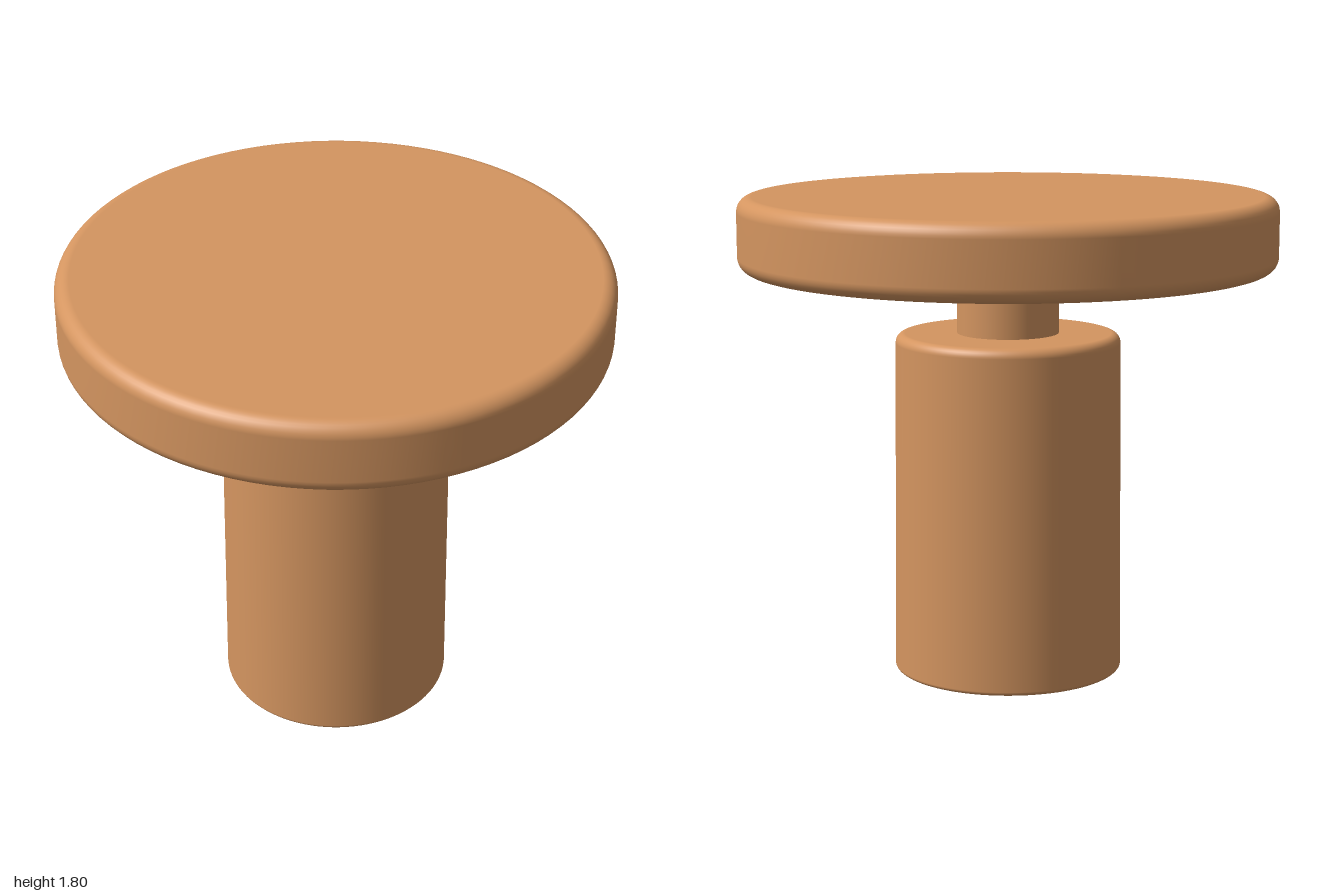
import * as THREE from 'three';

const SEGMENTS = 96;

// Closed turned solid with rounded lower and upper rims
function roundedDisc(rBottom, rTop, y0, y1, filletBottom, filletTop) {
  const points = [new THREE.Vector2(0, y0)];
  const steps = 8;
  const arc = (cx, cy, r, start) => {
    for (let i = 0; i <= steps; i++) {
      const a = start + (i / steps) * Math.PI / 2;
      points.push(new THREE.Vector2(cx + r * Math.cos(a), cy + r * Math.sin(a)));
    }
  };
  arc(rBottom - filletBottom, y0 + filletBottom, filletBottom, -Math.PI / 2);
  arc(rTop - filletTop, y1 - filletTop, filletTop, 0);
  points.push(new THREE.Vector2(0, y1));
  return new THREE.LatheGeometry(points, SEGMENTS);
}

export function createModel() {
  const group = new THREE.Group();
  const copper = new THREE.MeshStandardMaterial({ color: 0xd49560 });
  copper.name = 'copper';

  const add = (name, geometry) => {
    const mesh = new THREE.Mesh(geometry, copper);
    mesh.name = name;
    group.add(mesh);
    return mesh;
  };

  // Slightly tapered cylindrical body
  add('body', roundedDisc(0.43, 0.42, 0, 1.285, 0.015, 0.035));

  // Narrow neck, its ends hidden inside the body and cap
  add('neck', new THREE.CylinderGeometry(0.19, 0.19, 0.26, SEGMENTS, 1, true)).position.y = 1.405;

  // Wide flat cap with soft rims
  add('cap', roundedDisc(1, 1, 1.525, 1.8, 0.055, 0.055));

  return group;
}
